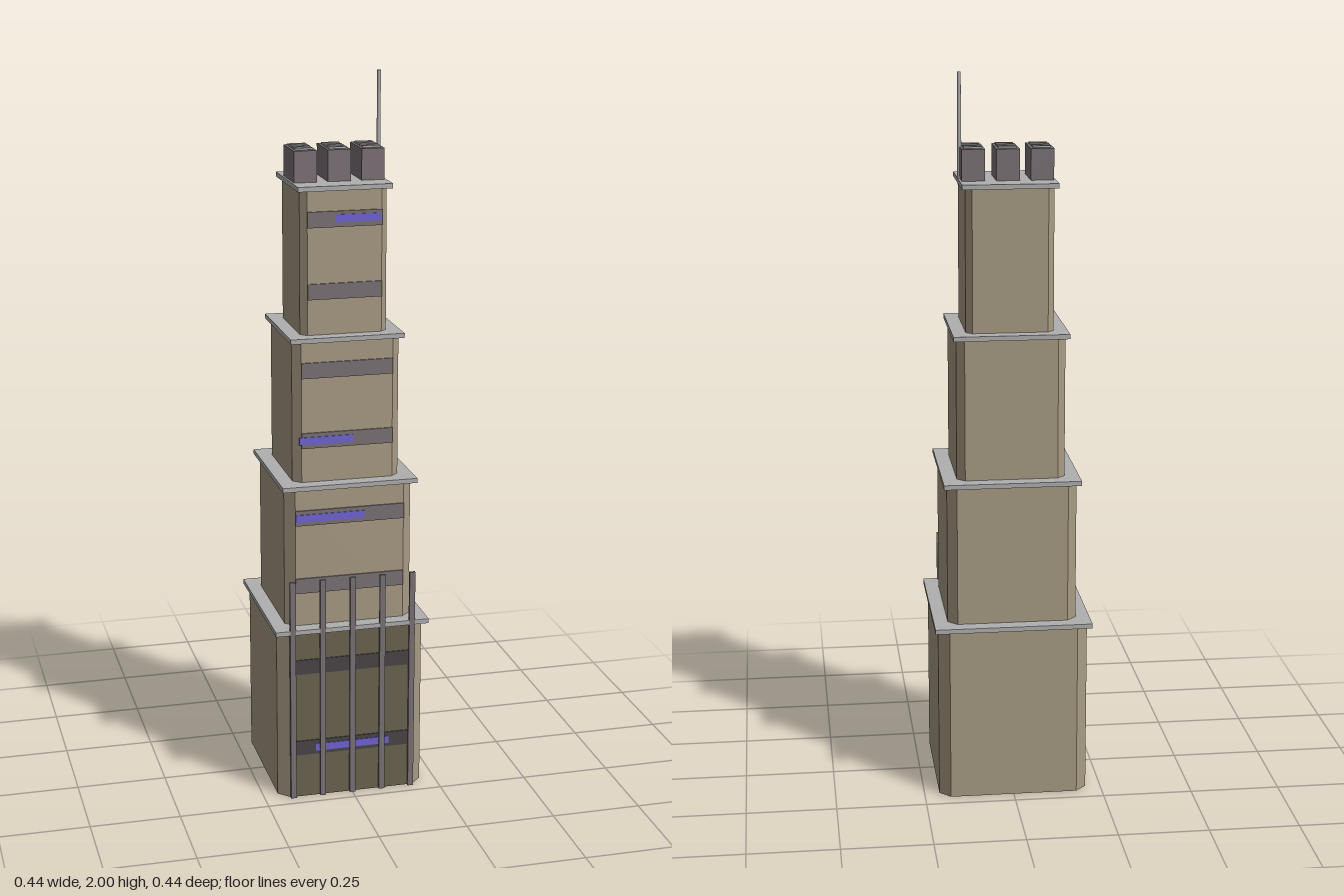
import * as THREE from 'three';

const mat = (name, color) => {
  const m = new THREE.MeshStandardMaterial({ color });
  m.name = name;
  return m;
};

export function createModel() {
  const stone = mat('tan stone', 0xa89b84);
  const concrete = mat('light grey', 0xb0b0b0);
  const grey = mat('warm grey', 0x7b7276);
  const darkStone = mat('dark stone', 0x6b634f);
  const darkBand = mat('dark window', 0x4a4548);
  const purple = mat('purple light', 0x7064d4);

  const model = new THREE.Group();
  model.name = 'tower';

  const add = (name, geometry, material, x, y, z) => {
    const mesh = new THREE.Mesh(geometry, material);
    mesh.name = name;
    mesh.position.set(x, y, z);
    model.add(mesh);
    return mesh;
  };
  const box = (name, w, h, d, material, x, y, z) =>
    add(name, new THREE.BoxGeometry(w, h, d), material, x, y, z);

  // Square prism with cut corners, standing on y = 0
  const tierGeometry = (half, cut, height) => {
    const f = half - cut;
    const shape = new THREE.Shape([
      [f, -half], [half, -f], [half, f], [f, half],
      [-f, half], [-half, f], [-half, -f], [-f, -half],
    ].map(([x, y]) => new THREE.Vector2(x, y)));
    const g = new THREE.ExtrudeGeometry(shape, { depth: height, bevelEnabled: false });
    return g.rotateX(-Math.PI / 2);
  };

  // Stepped tiers, each with a slab; window bands and lit strips on the front
  const slabH = 0.013;
  const tiers = [
    { half: 0.208, slab: 0.218, y0: 0, y1: 0.503, bands: [0.148, 0.391] },
    { half: 0.179, slab: 0.189, y0: 0.503, y1: 0.907, bands: [0.619, 0.815] },
    { half: 0.149, slab: 0.158, y0: 0.907, y1: 1.311, bands: [1.025, 1.221] },
    { half: 0.12, slab: 0.13, y0: 1.311, y1: 1.715, bands: [1.43, 1.625] },
  ];
  // Lit strips: tier, height, from x, to x
  const strips = [
    [0, 0.147, -0.105, 0.105],
    [1, 0.815, -0.153, 0.04],
    [2, 1.025, -0.135, 0.015],
    [3, 1.627, -0.025, 0.1],
  ];

  tiers.forEach(({ half, slab, y0, y1, bands }, i) => {
    const cut = half * 0.145;
    const flat = 2 * (half - cut);
    add('tier', tierGeometry(half, cut, y1 - y0 - slabH), stone, 0, y0, 0);
    box('slab', 2 * slab, slabH, 2 * slab, concrete, 0, y1 - slabH / 2, 0);
    for (const y of bands) {
      box('windowBand', flat, 0.043, 0.006, i === 0 ? darkBand : grey, 0, y, half + 0.001);
    }
  });
  for (const [i, y, a, b] of strips) {
    box('litWindows', b - a, 0.021, 0.004, purple, (a + b) / 2, y, tiers[i].half + 0.004);
  }

  // Dark facing on the front of the base
  box('baseFacing', 0.356, 0.49, 0.002, darkStone, 0, 0.245, 0.2085);

  // Vertical fins in front of the base
  for (let i = -2; i <= 2; i++) {
    box('fin', 0.016, 0.645, 0.008, grey, i * 0.085, 0.3225, 0.2145);
  }

  // Roof units with slatted tops
  for (let i = -1; i <= 1; i++) {
    const x = i * 0.093;
    box('roofUnit', 0.063, 0.085, 0.125, grey, x, 1.7575, 0);
    for (let k = 0; k < 4; k++) {
      box('slat', 0.049, 0.006, 0.014, concrete, x, 1.802, (k - 1.5) * 0.0255);
    }
  }

  // Antenna
  add('antenna', new THREE.CylinderGeometry(0.005, 0.006, 0.285, 12), concrete, 0.125, 1.8575, 0);

  return model;
}
